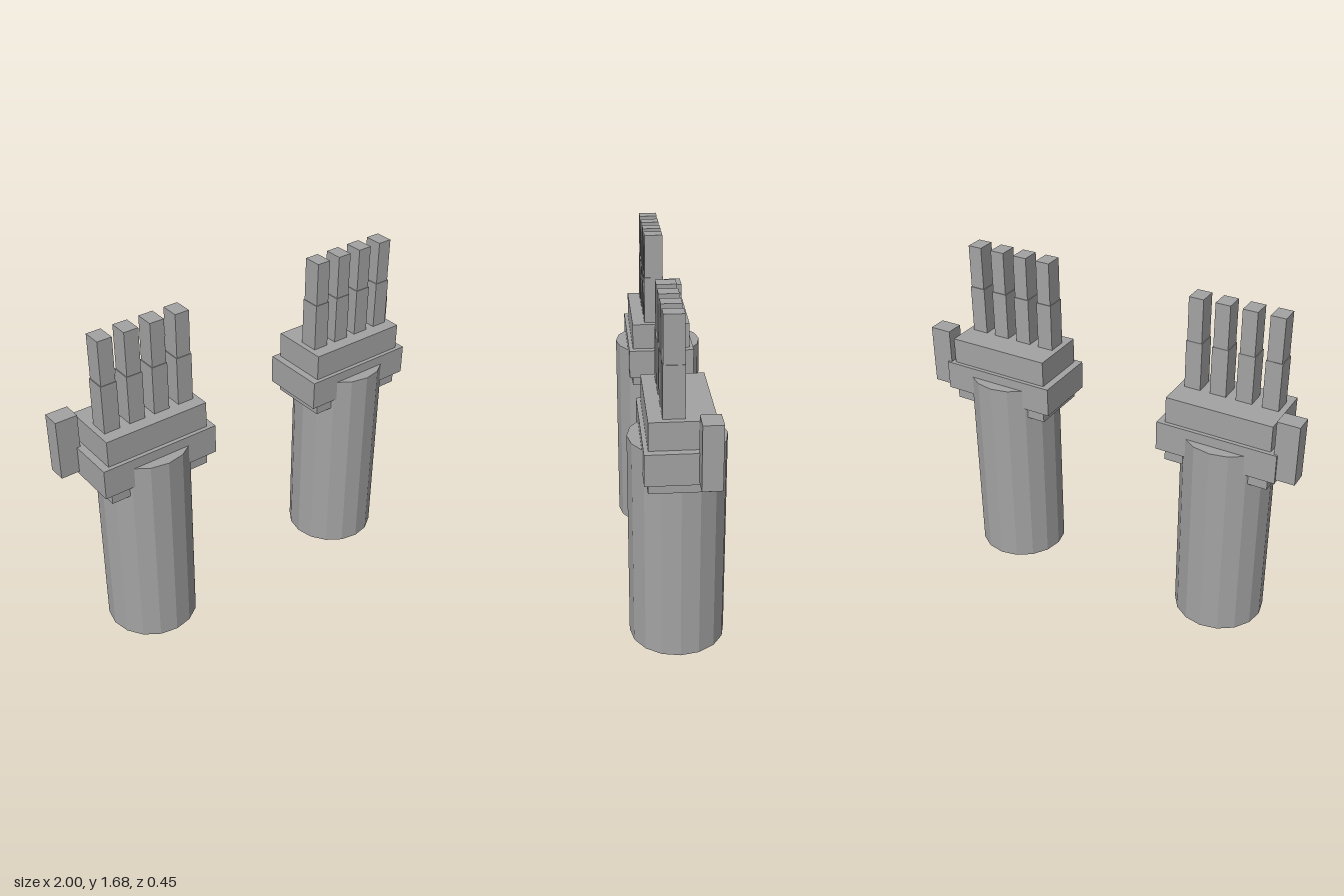
import * as THREE from 'three';

const grey = new THREE.MeshStandardMaterial({ color: 0xa3a3a3 });
grey.name = 'stone grey';

// Box given by its centre in x and z, its size, and its bottom and top heights
function block(name, x, z, width, depth, bottom, top) {
  const mesh = new THREE.Mesh(new THREE.BoxGeometry(width, top - bottom, depth), grey);
  mesh.position.set(x, (bottom + top) / 2, z);
  mesh.name = name;
  return mesh;
}

// side is +1 for the left hand and -1 for the right, with the thumb outward
function createHand(side) {
  const hand = new THREE.Group();
  hand.name = side > 0 ? 'leftHand' : 'rightHand';
  hand.position.x = side * 0.605;

  // Faceted forearm
  const geometry = new THREE.CylinderGeometry(0.227, 0.227, 1.037, 16).toNonIndexed();
  geometry.computeVertexNormals();
  const forearm = new THREE.Mesh(geometry, grey);
  forearm.position.y = 1.037 / 2;
  forearm.name = 'forearm';
  hand.add(forearm);

  // Stepped cuff and palm
  hand.add(block('wristPlate', 0, 0, 0.525, 0.3, 0.88, 0.96));
  hand.add(block('wristBlock', 0, 0, 0.605, 0.336, 0.937, 1.086));
  hand.add(block('palm', 0, 0, 0.532, 0.296, 1.086, 1.218));

  // Four fingers, each with a slightly narrower upper segment
  for (let i = 0; i < 4; i++) {
    const x = side * (i - 1.5) * 0.131;
    hand.add(block('fingerBase' + (i + 1), x, 0.036, 0.081, 0.097, 1.218, 1.46));
    hand.add(block('fingerTip' + (i + 1), x, 0.036, 0.073, 0.091, 1.46, 1.68));
  }

  // Thumb beside the palm, towards the back
  hand.add(block('thumb', side * 0.34, -0.112, 0.11, 0.091, 0.953, 1.256));
  return hand;
}

export function createModel() {
  const model = new THREE.Group();
  model.name = 'pairOfHands';
  model.add(createHand(1), createHand(-1));
  return model;
}
